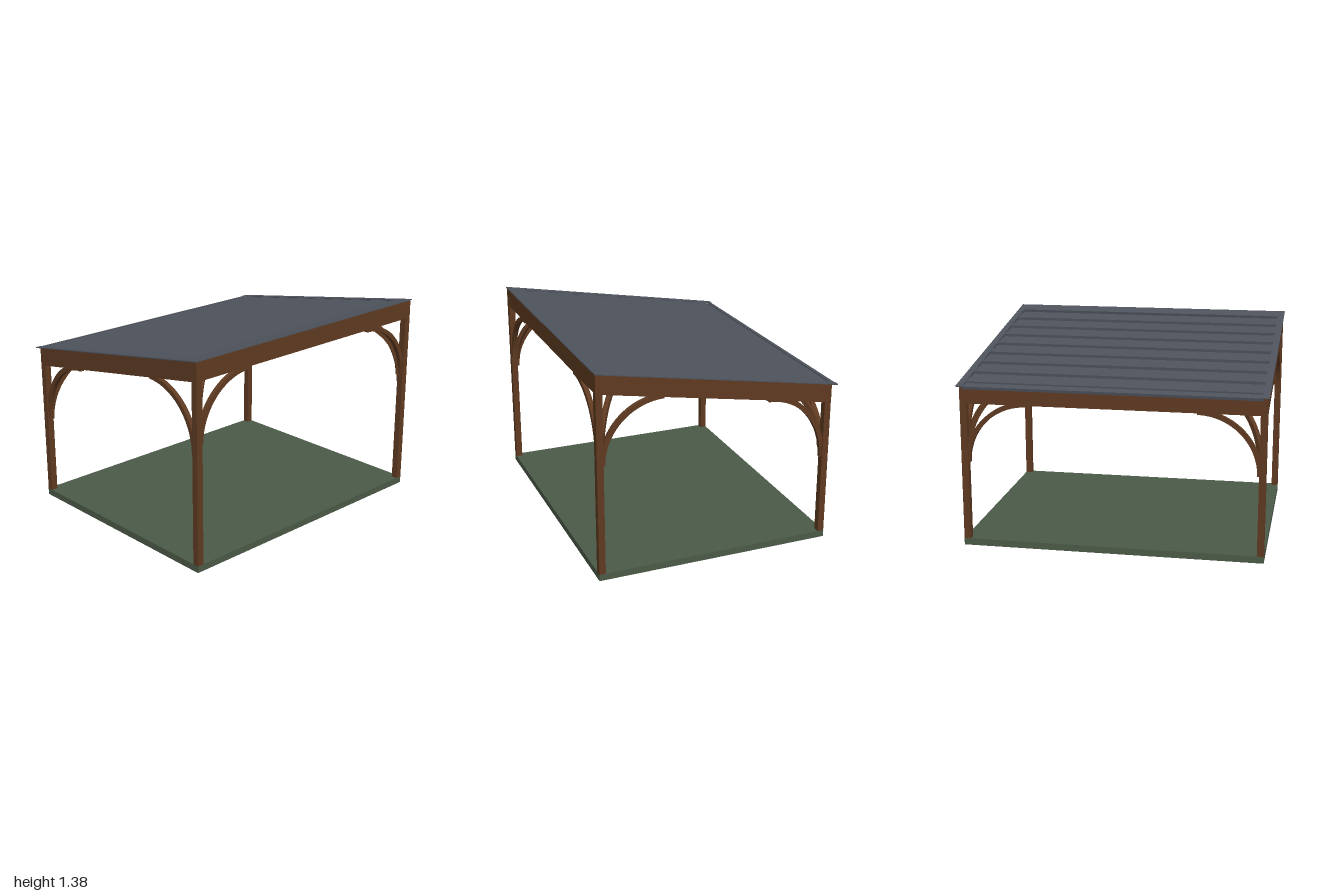
import * as THREE from 'three';

const SLOPE = 0.177, TILT = Math.atan(SLOPE), COS = Math.cos(TILT), RIDGE = 1.2316;
const roofY = z => RIDGE + SLOPE * z; // height of the roof plane

export function createModel() {
  const model = new THREE.Group();
  const mat = (name, color) => {
    const m = new THREE.MeshStandardMaterial({ color });
    m.name = name;
    return m;
  };
  const wood = mat('brown wood', 0x5f3a21);
  const slate = mat('slate roof', 0x4e535d);
  const lining = mat('grey lining', 0xbababa);
  const green = mat('green base', 0x4b5b48);

  const add = (parent, name, geo, material, x = 0, y = 0, z = 0) => {
    const mesh = new THREE.Mesh(geo, material);
    mesh.name = name;
    mesh.position.set(x, y, z);
    parent.add(mesh);
    return mesh;
  };
  const box = (parent, name, material, w, h, d, x, y, z) =>
    add(parent, name, new THREE.BoxGeometry(w, h, d), material, x, y, z);

  // Floor slab
  box(model, 'base', green, 1.98, 0.045, 1.585, 0, 0.0225, 0.0175);

  // Beam whose top and bottom follow the roof slope
  const slopedBeam = (name, x, width, z0, z1, top, bottom) => {
    const s = new THREE.Shape([
      new THREE.Vector2(z0, roofY(z0) - bottom), new THREE.Vector2(z1, roofY(z1) - bottom),
      new THREE.Vector2(z1, roofY(z1) - top), new THREE.Vector2(z0, roofY(z0) - top),
    ]);
    const g = new THREE.ExtrudeGeometry(s, { depth: width, bevelEnabled: false });
    g.translate(0, 0, -width / 2).rotateY(-Math.PI / 2);
    add(model, name, g, wood, x, 0, 0);
  };
  slopedBeam('frontBeam', 0, 1.92, 0.768, 0.81, 0.004, 0.13);
  slopedBeam('backBeam', 0, 1.92, -0.775, -0.73, 0.024, 0.13);
  for (const s of [-1, 1]) {
    slopedBeam('sideBeam', s * 0.975, 0.03, -0.775, 0.81, 0.004, 0.13);
    slopedBeam('sideBeamInner', s * 0.9525, 0.015, -0.775, 0.81, 0.03, 0.13);
  }

  // Curved brace: quarter ring rising towards (dx, dz), its ends sunk into post and beam
  const R = 0.412, W = 0.03, SINK = 0.018;
  const ring = new THREE.Shape();
  ring.absarc(R - SINK, 0, R, Math.PI, Math.PI / 2, true);
  ring.absarc(R - SINK, 0, R - W, Math.PI / 2, Math.PI, false);
  const braceGeo = new THREE.ExtrudeGeometry(ring, { depth: 0.03, bevelEnabled: false, curveSegments: 20 });
  braceGeo.translate(0, 0, -0.015);
  const brace = (name, x, topY, z, dx, dz, rise = 1) => {
    const m = add(model, name, braceGeo, wood, x, topY + SINK - R * rise, z);
    m.rotation.y = Math.atan2(-dz, dx);
    m.scale.y = rise;
  };

  // Posts, each with a fan of three braces
  for (const sx of [-1, 1]) {
    for (const [zc, sz] of [[0.789, 1], [-0.7525, -1]]) {
      const zi = zc - sz * 0.022, xi = sx * 0.945;
      const h = roofY(zc) - 0.06 - 0.045;
      box(model, 'post', wood, 0.045, h, 0.043, sx * 0.9675, 0.045 + h / 2, zc);
      brace('crossBrace', xi, roofY(sz > 0 ? 0.768 : -0.775) - 0.13, zc, -sx, 0);
      brace('sideBrace', sx * 0.967, roofY(zi - sz * 0.39) - 0.13, zi, 0, -sz, sz > 0 ? 1 : 1.14);
      brace('diagonalBrace', xi, roofY(zi - sz * 0.26) - 0.095, zi, -sx * 0.775, -sz * 0.632);
    }
  }

  // Tilted roof group: local y = 0 is the roof plane, +z runs uphill
  const roof = new THREE.Group();
  roof.name = 'roof';
  roof.position.y = RIDGE;
  roof.rotation.x = -TILT;
  model.add(roof);
  const slab = (name, material, w, h, top, x, z0, z1) =>
    box(roof, name, material, w, h, (z1 - z0) / COS, x, top - h / 2, (z0 + z1) / 2 / COS);

  // Flat ceiling resting on the rafters
  slab('ceiling', lining, 1.9, 0.008, -0.055, 0, -0.74, 0.775);

  // Rafters: centre cross and an X in every quarter
  const rafter = (name, x0, z0, x1, z1) => {
    const dx = x1 - x0, dz = (z1 - z0) / COS;
    const m = box(roof, name, wood, 0.03, 0.04, Math.hypot(dx, dz),
      (x0 + x1) / 2, -0.08, (z0 + z1) / 2 / COS);
    m.rotation.y = Math.atan2(dx, dz);
  };
  slopedBeam('centreRafter', 0, 0.04, -0.735, 0.77, 0.06, 0.104);
  rafter('purlin', -0.95, 0.02, 0.95, 0.02);
  for (const sx of [-1, 1]) {
    for (const ze of [0.77, -0.73]) {
      rafter('cornerRafter', 0, 0.02, sx * 0.94, ze);
      rafter('diamondRafter', sx * 0.94, 0.02, 0, ze);
    }
  }

  // Flat border strips, with lips closing the recess beside the boards
  for (const s of [-1, 1]) {
    slab('sideTrim', slate, 0.043, 0.006, 0, s * 0.9785, -0.815, 0.815);
    slab('sideLip', slate, 0.004, 0.035, -0.001, s * 0.958, -0.775, 0.767);
  }
  slab('topTrim', slate, 1.914, 0.006, 0, 0, 0.695, 0.815);
  slab('topLip', slate, 1.914, 0.03, -0.001, 0, 0.6955, 0.7);
  slab('eaveTrim', slate, 1.914, 0.012, -0.01, 0, -0.79, -0.73);
  slab('eaveLip', slate, 1.92, 0.018, -0.003, 0, -0.815, -0.783);

  // Lapped boards, each lifted at its downhill edge
  const STEP = 0.179, len = STEP / COS, low = -0.018, high = 0, thick = 0.02;
  for (let k = 0; k < 8; k++) {
    const z = 0.695 - STEP * (k + 0.5);
    const board = box(roof, 'roofBoard', slate, 1.914, thick, len + 0.002,
      0, (low + high) / 2 - thick / 2, z / COS);
    board.rotation.x = Math.atan((high - low) / len);
  }

  return model;
}
